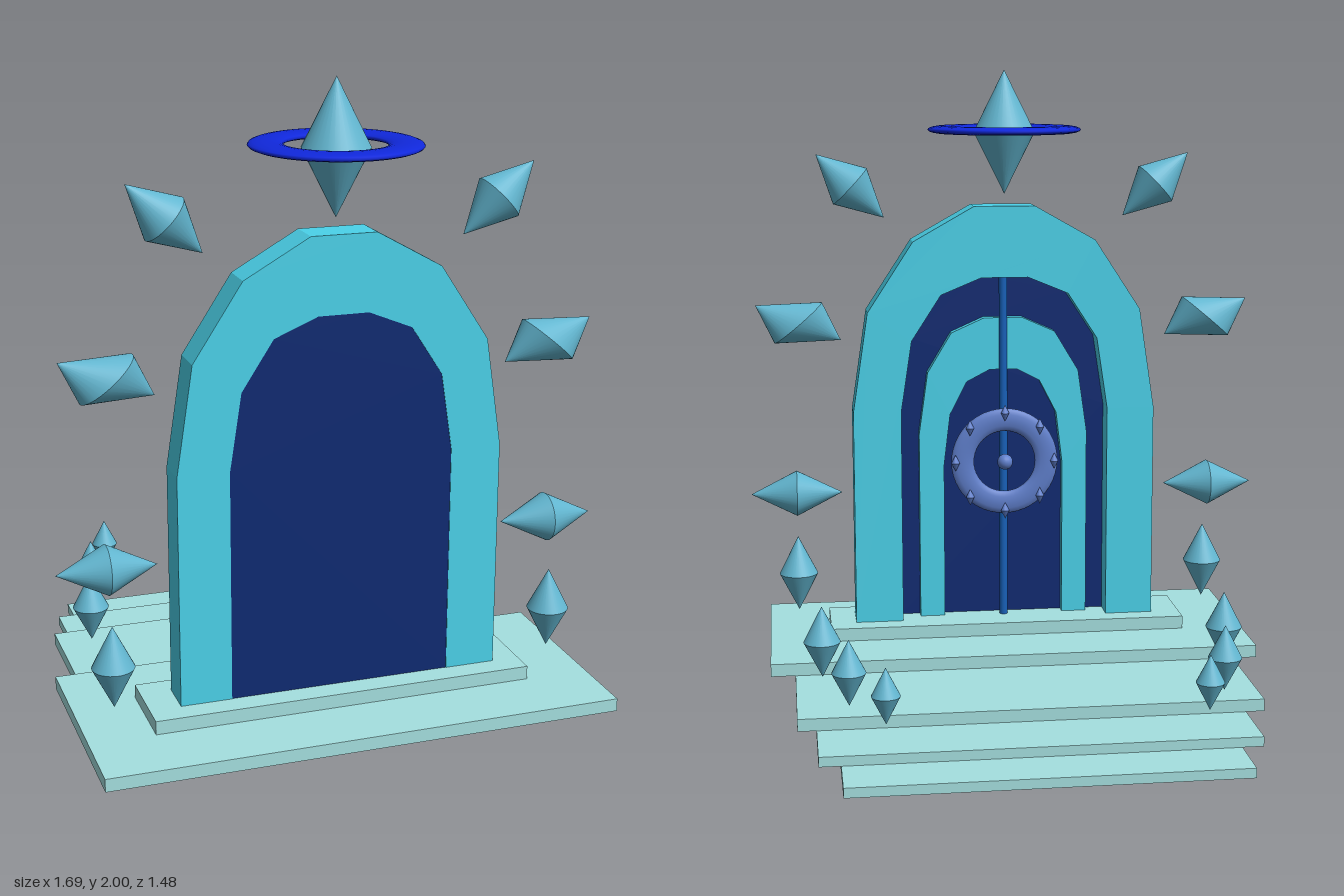
import * as THREE from 'three';
import { mergeGeometries } from 'three/addons/utils/BufferGeometryUtils.js';

const mat = (color) => new THREE.MeshStandardMaterial({ color });
const CX = -0.005;   // shared centre line
const GZ = 0.395;    // depth of the gate
const FLOOR = 0.18;  // top of the threshold

// Right half of each arch outline, from the foot up
const OUTER = [[0.5, 0.18], [0.5, 0.89], [0.45, 1.22], [0.3, 1.45], [0.1, 1.563]];
const INNER = [[0.343, 0.18], [0.343, 0.89], [0.307, 1.125], [0.21, 1.275], [0.077, 1.33]];
const scaled = (pts, sx, sy) => pts.map(([x, y]) => [x * sx, FLOOR + (y - FLOOR) * sy]);
const whole = (half) => [...half, ...half.map(([x, y]) => [-x, y]).reverse()];
const toShape = (pts) => new THREE.Shape(pts.map(([x, y]) => new THREE.Vector2(x, y)));

function extrude(pts, z0, z1) {
  const g = new THREE.ExtrudeGeometry(toShape(pts), { depth: z1 - z0, bevelEnabled: false });
  return g.translate(0, 0, z0);
}
const archBand = (outer, inner, z0, z1) => extrude([...whole(outer), ...whole(inner).reverse()], z0, z1);

// Two cones base to base, unit radius and unit half length
function spindle(sides = 32) {
  const up = new THREE.ConeGeometry(1, 1, sides, 1, true).translate(0, 0.5, 0);
  const down = up.clone().rotateX(Math.PI);
  return mergeGeometries([up, down]);
}

export function createModel() {
  const model = new THREE.Group();
  const add = (name, geometry, material, parent = model) => {
    const m = new THREE.Mesh(geometry, material);
    m.name = name;
    parent.add(m);
    return m;
  };
  const stone = mat(0xa5e0e0), frame = mat(0x4bd2ea), dark = mat(0x0e2a72);
  const crystal = mat(0x62b6d0), halo = mat(0x1028dc), metal = mat(0x5f7fcc), barMat = mat(0x1660b8);

  // Steps: half width, y range, z range
  const steps = [
    [0.59, 0.138, 0.18, 0.27, 0.525],
    [0.79, 0.098, 0.138, 0.052, 0.737],
    [0.712, 0.06, 0.098, -0.355, 0.265],
    [0.655, 0.03, 0.06, -0.573, 0.0],
    [0.59, 0.0, 0.03, -0.74, -0.23],
  ];
  steps.forEach(([hw, y0, y1, z0, z1], i) => {
    add(i ? 'step' + i : 'threshold', new THREE.BoxGeometry(hw * 2, y1 - y0, z1 - z0), stone)
      .position.set(CX, (y0 + y1) / 2, (z0 + z1) / 2);
  });

  // Gate: frame, door panel and the smaller arch on its back
  const gate = new THREE.Group();
  gate.name = 'gate';
  model.add(gate);
  add('archFrame', archBand(OUTER, INNER, 0.338, 0.453), frame, gate);
  add('doorPanel', extrude(whole(INNER), 0.42, 0.451), dark, gate);
  add('innerArch', archBand(scaled(INNER, 0.82, 0.88), scaled(INNER, 0.58, 0.73), 0.385, 0.42), frame, gate);
  add('doorBar', new THREE.CylinderGeometry(0.014, 0.014, 1.155, 16), barMat, gate)
    .position.set(0, 0.7575, 0.387);

  // Round lock with studs
  const lock = new THREE.Group();
  lock.name = 'lock';
  lock.position.set(0, 0.715, 0.352);
  gate.add(lock);
  add('lockRing', new THREE.TorusGeometry(0.14, 0.038, 12, 48).scale(1, 1, 0.35), metal, lock);
  add('lockKnob', new THREE.SphereGeometry(0.026, 16, 12), metal, lock).position.z = -0.015;
  for (let i = 0; i < 8; i++) {
    const a = (i * Math.PI) / 4;
    add('lockStud', spindle(12).scale(0.014, 0.028, 0.014), metal, lock)
      .position.set(0.165 * Math.cos(a), 0.165 * Math.sin(a), -0.017);
  }

  // Crystals standing beside the steps: x, y, z, radius, half height
  const standing = [
    [0.692, 0.33, 0.44, 0.064, 0.127],
    [0.63, 0.27, -0.147, 0.057, 0.112],
    [0.56, 0.27, -0.457, 0.051, 0.1],
    [0.465, 0.27, -0.674, 0.042, 0.083],
  ];
  // Slanted crystals around the arch: centre, half axis, half width vector
  const floating = [
    [[0.693, 0.615], [0.15, 0], [0, 0.075]],
    [[0.678, 0.185 + 1], [0.138, 0.059], [-0.078, 0.066]],
    [[0.503, 1.628], [0.109, 0.103], [-0.055, 0.058]],
  ];
  for (const s of [1, -1]) {
    for (const [x, y, z, r, h] of standing) {
      add('stepCrystal', spindle().scale(r, h, r), crystal).position.set(CX + s * x, y, z);
    }
    for (const [c, axis, wide] of floating) {
      const yv = new THREE.Vector3(s * axis[0], axis[1], 0);
      const xv = new THREE.Vector3(s * wide[0], wide[1], 0);
      // keep the basis right-handed so faces point outward
      const turn = Math.sign(xv.x * yv.y - xv.y * yv.x);
      const basis = new THREE.Matrix4().makeBasis(xv, yv, new THREE.Vector3(0, 0, 0.075 * turn));
      add('archCrystal', spindle().applyMatrix4(basis), crystal)
        .position.set(CX + s * c[0], c[1], GZ);
    }
  }

  // Crown crystal with its halo
  add('crownCrystal', spindle().scale(0.1, 0.2, 0.1), crystal).position.set(CX, 1.8, GZ - 0.003);
  add('halo', new THREE.TorusGeometry(0.2, 0.052, 16, 64).rotateX(Math.PI / 2).scale(0.99, 0.25, 1.04), halo)
    .position.set(CX, 1.808, GZ - 0.005);

  return model;
}
